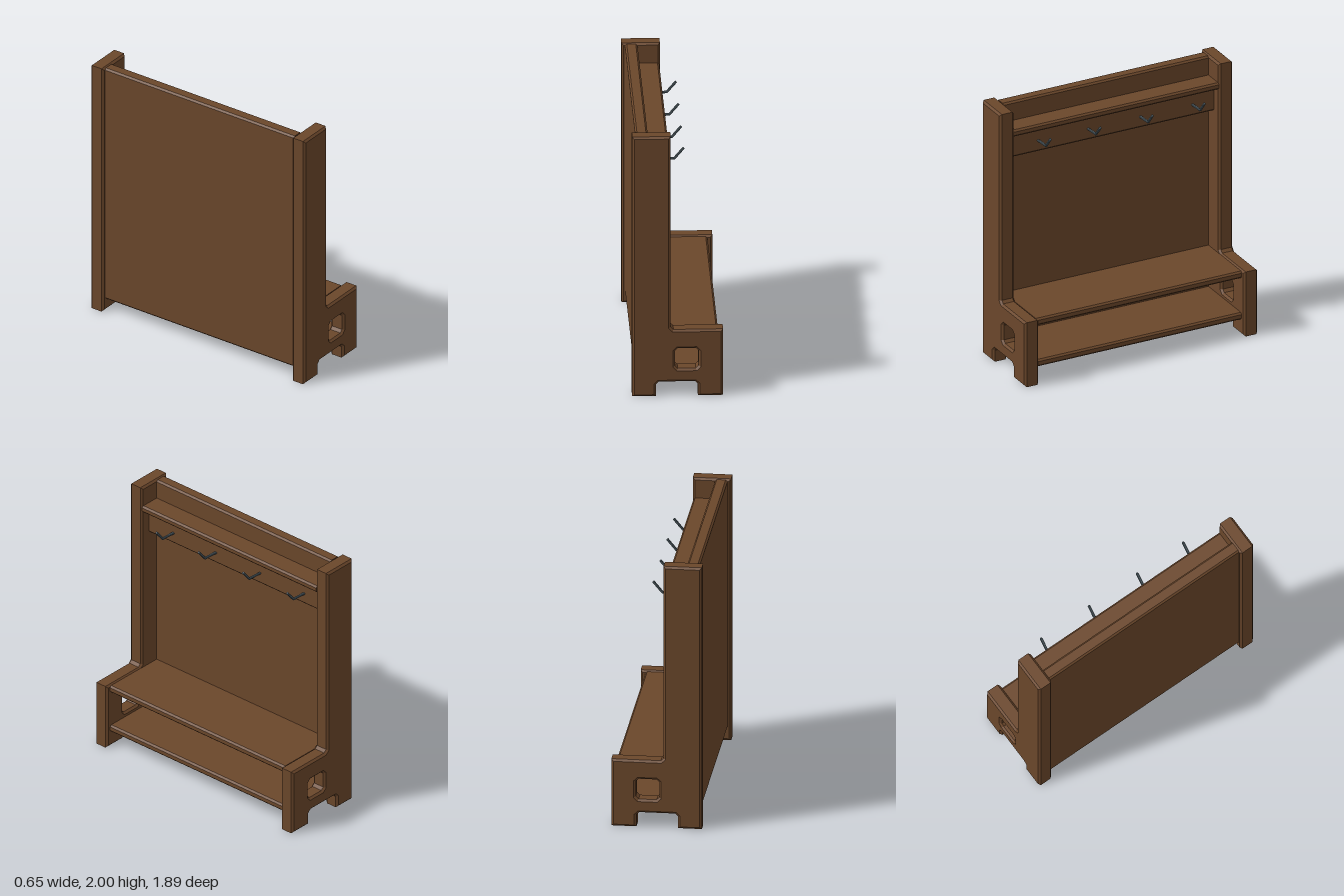
import * as THREE from 'three';

const wood = new THREE.MeshStandardMaterial({ color: 0x6b472b });
wood.name = 'brown wood';
const metal = new THREE.MeshStandardMaterial({ color: 0x5a6a72 });
metal.name = 'grey metal';

const toPoints = (list) => list.map(([x, y]) => new THREE.Vector2(x, y));

// Rectangle outline with cut corners, given by its edges
function cutRect(x0, x1, y0, y1, c) {
  return [
    [x0 + c, y0], [x1 - c, y0], [x1, y0 + c], [x1, y1 - c],
    [x1 - c, y1], [x0 + c, y1], [x0, y1 - c], [x0, y0 + c],
  ];
}

// Outline in x/y, extruded along z and centred on z = 0, with chamfered edges
function slab(outline, width, bevel, holes = []) {
  const shape = new THREE.Shape(toPoints(outline));
  holes.forEach((h) => shape.holes.push(new THREE.Path(toPoints(h))));
  const depth = width - 2 * bevel;
  const geometry = new THREE.ExtrudeGeometry(shape, {
    depth,
    bevelEnabled: bevel > 0,
    bevelThickness: bevel,
    bevelSize: bevel,
    bevelOffset: -bevel,
    bevelSegments: 1,
  });
  return geometry.translate(0, 0, -depth / 2);
}

export function createModel() {
  const group = new THREE.Group();
  const add = (name, geometry, material, z = 0) => {
    const mesh = new THREE.Mesh(geometry, material);
    mesh.name = name;
    mesh.position.z = z;
    group.add(mesh);
  };

  // End panels: tall post, bench end with a window, two feet
  const endOutline = [
    [-0.325, 0], [-0.155, 0], [-0.155, 0.09], [-0.135, 0.11],
    [0.125, 0.11], [0.145, 0.09], [0.145, 0], [0.325, 0],
    [0.325, 0.51], [-0.03, 0.51], [-0.05, 0.53], [-0.05, 2], [-0.325, 2],
  ];
  const endPanel = slab(endOutline, 0.115, 0.015, [cutRect(-0.02, 0.15, 0.21, 0.365, 0.02)]);
  add('leftEndPanel', endPanel, wood, -0.8875);
  add('rightEndPanel', endPanel, wood, 0.8875);

  // Long boards between the end panels: [name, x0, x1, y0, y1]
  const boards = [
    ['backPanel', -0.3, -0.21, 0.095, 1.995],
    ['topShelf', -0.23, -0.055, 1.795, 1.848],
    ['hookRail', -0.23, -0.125, 1.6, 1.81],
    ['benchSeat', -0.23, 0.29, 0.447, 0.502],
    ['lowerShelf', -0.23, 0.29, 0.12, 0.175],
  ];
  for (const [name, x0, x1, y0, y1] of boards) {
    add(name, slab(cutRect(x0, x1, y0, y1, 0.013), 1.664, 0), wood);
  }

  // Bent coat hooks
  const hookOutline = [
    [-0.14, 1.68], [-0.005, 1.687], [0.063, 1.768],
    [0.051, 1.779], [-0.013, 1.702], [-0.14, 1.695],
  ];
  const hook = slab(hookOutline, 0.019, 0.004);
  [-0.655, -0.233, 0.19, 0.595].forEach((z, i) => add(`coatHook${i + 1}`, hook, metal, z));

  return group;
}
